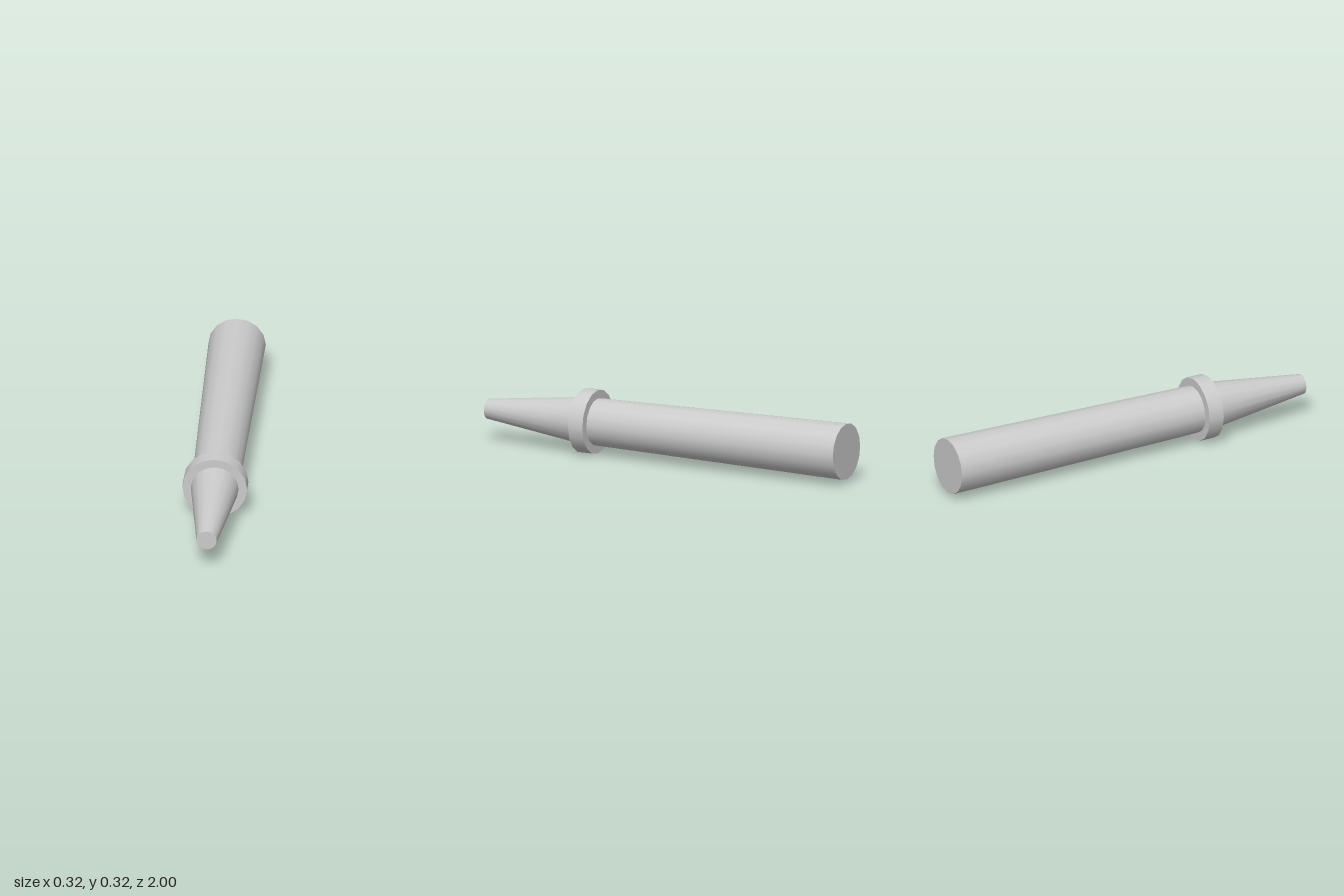
import * as THREE from 'three';

const SIDES = 16;
const AXIS_HEIGHT = 0.16;

export function createModel() {
  const group = new THREE.Group();
  const material = new THREE.MeshStandardMaterial({ color: 0xcccccc });

  // Tapered round section along z, from backZ to frontZ
  function section(name, backZ, backRadius, frontZ, frontRadius) {
    const geometry = new THREE.CylinderGeometry(frontRadius, backRadius, frontZ - backZ, SIDES);
    geometry.rotateX(Math.PI / 2);
    const mesh = new THREE.Mesh(geometry, material);
    mesh.name = name;
    mesh.position.set(0, AXIS_HEIGHT, (backZ + frontZ) / 2);
    group.add(mesh);
  }

  // Long handle, widening slightly to the back
  section('handle', -1, 0.141, 0.39, 0.118);
  // Raised ring between handle and tip
  section('collar', 0.39, 0.16, 0.47, 0.16);
  // Tapered, blunt front
  section('tip', 0.47, 0.118, 1, 0.05);

  return group;
}
